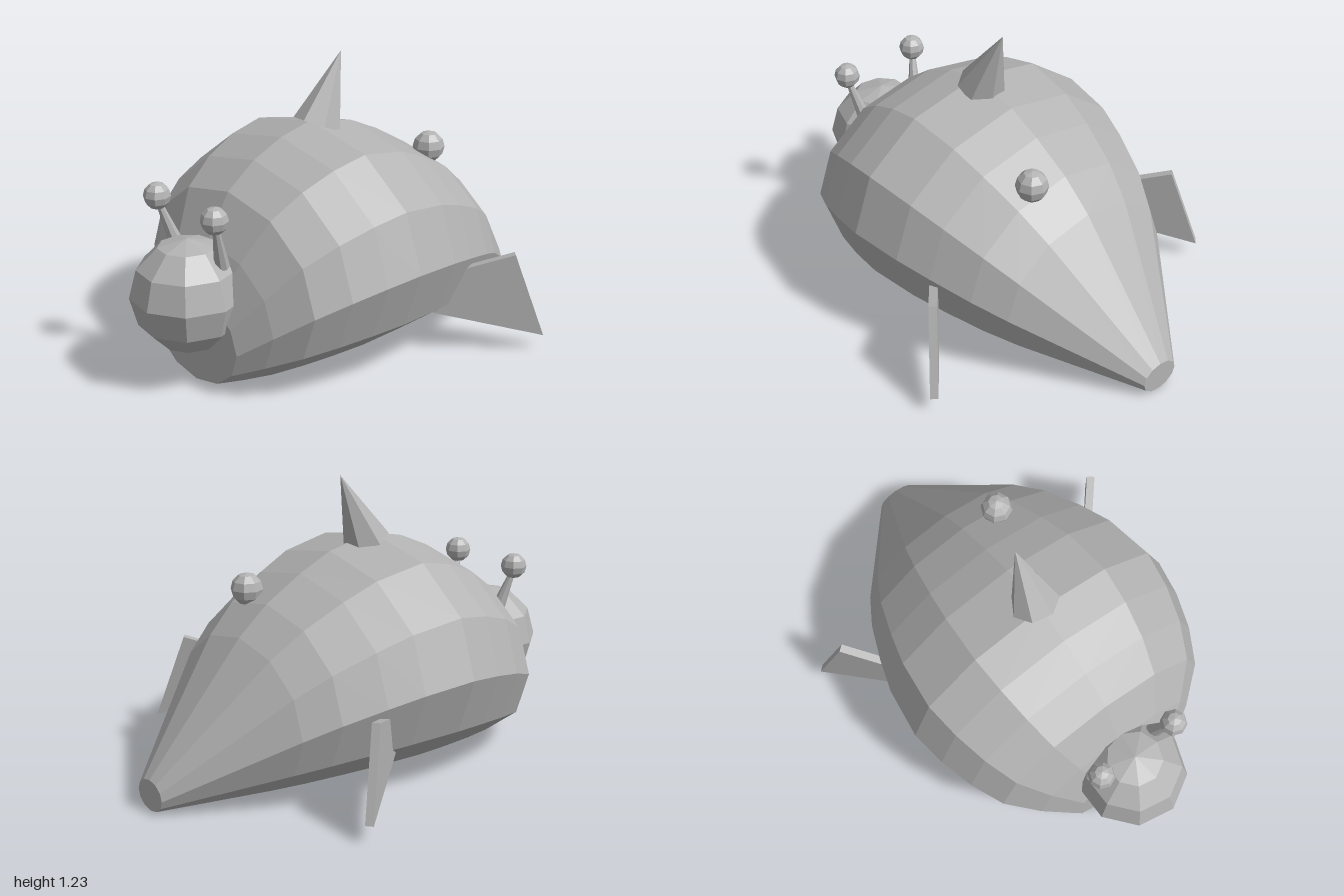
import * as THREE from 'three';

export function createModel() {
  const model = new THREE.Group();
  const grey = new THREE.MeshStandardMaterial({ color: 0xb3b3b3, flatShading: true });
  grey.name = 'plain grey';

  const add = (name, geometry, x = 0, y = 0, z = 0) => {
    const mesh = new THREE.Mesh(geometry, grey);
    mesh.name = name;
    mesh.position.set(x, y, z);
    model.add(mesh);
    return mesh;
  };

  // Tapered post or cone running from one point to another
  const post = (name, from, to, r0, r1, sides, start = 0) => {
    const a = new THREE.Vector3(...from), b = new THREE.Vector3(...to);
    const axis = b.clone().sub(a);
    const mesh = add(name, new THREE.CylinderGeometry(r1, r0, axis.length(), sides, 1, false, start));
    mesh.position.copy(a).lerp(b, 0.5);
    mesh.quaternion.setFromUnitVectors(new THREE.Vector3(0, 1, 0), axis.normalize());
    return mesh;
  };

  add('body', bodyGeometry());

  // Head, nine sided
  add('head', new THREE.SphereGeometry(0.235, 9, 6, Math.PI), 0, 0.385, 0.76);

  // Horn on the back, leaning towards the tail
  post('horn', [0, 0.935, 0.075], [0, 1.225, -0.055], 0.103, 0, 7, 0.2);

  // Single knob on the left of the back
  add('backKnob', new THREE.SphereGeometry(0.068, 8, 6), 0.165, 0.77, -0.412);

  // Plate fin outline, tip at the origin of the first axis
  const finShape = new THREE.Shape([
    [0, 0.07], [-0.13, 0.435], [-0.36, 0.37], [-0.55, 0.3], [-0.55, 0.2],
  ].map(([s, y]) => new THREE.Vector2(s, y)));
  const finGeometry = new THREE.ExtrudeGeometry(finShape, { depth: 0.034, bevelEnabled: false });
  finGeometry.translate(0, 0, -0.017);

  for (const side of [1, -1]) {
    const label = side > 0 ? 'left' : 'right';
    // Eye stalk with its ball
    post(label + 'EyeStalk', [side * 0.142, 0.53, 0.7], [side * 0.182, 0.72, 0.757], 0.032, 0.012, 8);
    add(label + 'Eye', new THREE.SphereGeometry(0.056, 8, 6), side * 0.183, 0.747, 0.762);
    // Fin swept outwards and back
    const fin = add(label + 'Fin', finGeometry, side * 0.763, 0, -0.505);
    fin.rotation.y = side > 0 ? 0.863 : Math.PI - 0.863;
  }
  return model;
}

// Twelve sided elliptical rings, all resting on the ground
function bodyGeometry() {
  const sides = 12, widthRatio = 1.355;
  // z and height of each ring, front to tail
  const rings = [
    [0.735, 0.39], [0.655, 0.58], [0.55, 0.76], [0.415, 0.86], [0.27, 0.925], [0.115, 0.96],
    [-0.11, 0.915], [-0.26, 0.845], [-0.43, 0.745], [-0.565, 0.63], [-1, 0.13],
  ];
  const positions = [], index = [];
  for (const [z, h] of rings) {
    for (let j = 0; j < sides; j++) {
      const a = (j / sides) * Math.PI * 2, r = h / 2;
      positions.push(Math.sin(a) * r * widthRatio, r + Math.cos(a) * r, z);
    }
  }
  const at = (i, j) => i * sides + (j % sides);
  const last = rings.length - 1;
  for (let i = 0; i < last; i++) {
    for (let j = 0; j < sides; j++) {
      index.push(at(i, j), at(i, j + 1), at(i + 1, j + 1));
      index.push(at(i, j), at(i + 1, j + 1), at(i + 1, j));
    }
  }
  // Flat front and tail caps
  for (let j = 1; j < sides - 1; j++) {
    index.push(at(0, 0), at(0, j + 1), at(0, j));
    index.push(at(last, 0), at(last, j), at(last, j + 1));
  }
  const geometry = new THREE.BufferGeometry();
  geometry.setAttribute('position', new THREE.Float32BufferAttribute(positions, 3));
  geometry.setIndex(index);
  const flat = geometry.toNonIndexed();
  flat.computeVertexNormals();
  return flat;
}
